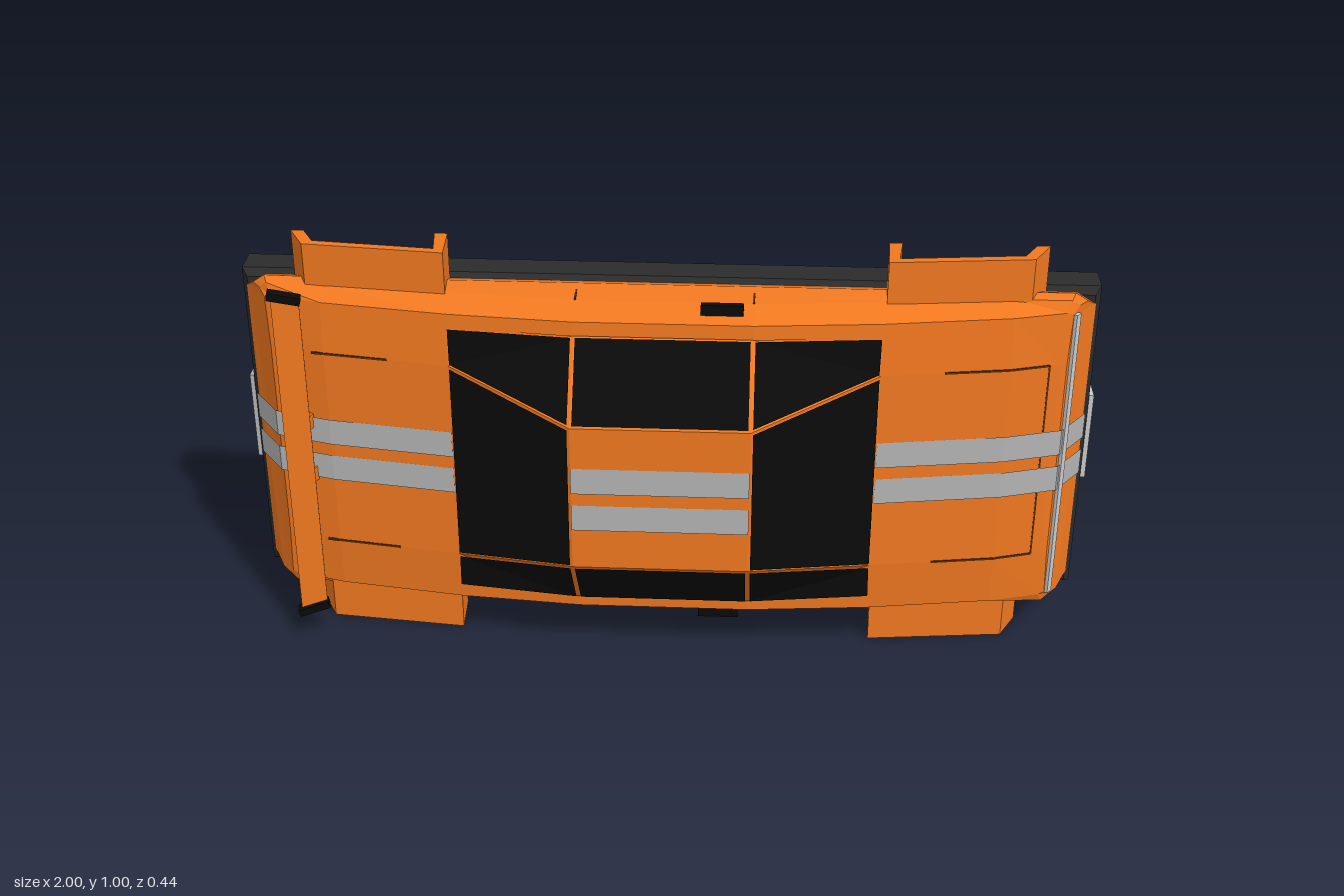
import * as THREE from 'three';

// The car lies on its side: x = length (nose at +x), y = width, z = height (roof at +z).
// Widths are measured from the centre line, which sits at y = 0.5.
const paint = (color, double = true) => new THREE.MeshStandardMaterial({
  color, flatShading: true, side: double ? THREE.DoubleSide : THREE.FrontSide });
const orange = paint(0xf07820), black = paint(0x0a0a0a), dark = paint(0x2b2b2b),
  silver = paint(0xb4b4b4), pale = paint(0xcccccc), seam = paint(0x5a2a0a);
const V = (x, y, z) => new THREE.Vector3(x, y, z);
const CORE = V(0, 0, -0.1);

function add(group, name, geometry, material, pos = [0, 0, 0], rotY = 0) {
  const mesh = new THREE.Mesh(geometry, material);
  mesh.name = name;
  mesh.position.set(...pos);
  mesh.rotation.y = rotY;
  group.add(mesh);
  return mesh;
}

const box = (group, name, size, pos, material, rotY = 0) =>
  add(group, name, new THREE.BoxGeometry(...size), material, pos, rotY);

// Flat polygons turned to face away from the middle of the car
function polygons(list) {
  const out = [];
  for (const poly of list) {
    for (let i = 1; i < poly.length - 1; i++) {
      const [a, b, c] = [poly[0], poly[i], poly[i + 1]];
      const n = b.clone().sub(a).cross(c.clone().sub(a));
      const mid = a.clone().add(b).add(c).divideScalar(3).sub(CORE);
      for (const p of n.dot(mid) < 0 ? [a, c, b] : [a, b, c]) out.push(p.x, p.y, p.z);
    }
  }
  const g = new THREE.BufferGeometry();
  g.setAttribute('position', new THREE.Float32BufferAttribute(out, 3));
  g.computeVertexNormals();
  return g;
}

// Glass pane: shrink a polygon by a fixed border and lift it off the panel
function pane(poly, border, lift) {
  const n = poly[2].clone().sub(poly[0]).cross(poly[3].clone().sub(poly[1])).normalize();
  const mid = poly.reduce((s, p) => s.add(p), V(0, 0, 0)).divideScalar(poly.length);
  if (n.dot(mid.clone().sub(CORE)) < 0) n.negate();
  return poly.map((p, i) => {
    const toNext = poly[(i + 1) % 4].clone().sub(p).normalize();
    const toPrev = poly[(i + 3) % 4].clone().sub(p).normalize();
    const k = border / Math.max(0.3, toNext.clone().cross(toPrev).length());
    return p.clone().addScaledVector(toNext, k).addScaledVector(toPrev, k).addScaledVector(n, lift);
  });
}

// Half section of the body at one station, from sill to deck
const section = (x, top) => [
  [x, 0.388, -0.108], [x, 0.41, -0.05], [x, 0.402, Math.max(top - 0.065, -0.03)],
  [x, 0.375, top - 0.008], [x, 0.25, top]];

function bodyGeometry() {
  const end = [[0.975, 0.36, -0.108], [0.95, 0.385, -0.07], [0.93, 0.385, -0.045],
    [0.915, 0.37, -0.026], [0.91, 0.25, -0.02]];
  const shoulder = [[0.93, 0.388, -0.108], [0.92, 0.408, -0.06], [0.91, 0.4, -0.035],
    [0.9, 0.375, -0.022], [0.895, 0.25, -0.015]];
  const half = [section(0.2, 0.09), section(0.485, 0.065), section(0.78, 0.02), shoulder, end];
  const flip = s => s.map(([x, y, z]) => [-x, y, z]);
  const rings = [...half.map(flip).reverse(), ...half].map(s => [
    ...s.map(p => V(...p)), ...s.map(([x, y, z]) => V(x, -y, z)).reverse()]);
  const faces = [rings[0], rings[rings.length - 1]];
  for (let i = 0; i < rings.length - 1; i++)
    for (let j = 0; j < 9; j++)
      faces.push([rings[i][j], rings[i + 1][j], rings[i + 1][j + 1], rings[i][j + 1]]);
  return polygons(faces);
}

// Cabin panels and their glass
function addCabin(car) {
  const A = (s, t) => V(0.2 * s, 0.345 * t, 0.09), B = (s, t) => V(0.49 * s, 0.343 * t, 0.058),
    C = (s, t) => V(0.487 * s, 0.25 * t, 0.066), D = (s, t) => V(0.2 * s, 0.18 * t, 0.218);
  const panes = [];
  for (const s of [1, -1]) {
    panes.push([C(s, 1), D(s, 1), D(s, -1), C(s, -1)]);
    panes.push([A(1, s), A(-1, s), D(-1, s), D(1, s)]);
    for (const t of [1, -1]) panes.push([A(s, t), B(s, t), C(s, t), D(s, t)]);
  }
  const roof = [D(1, 1), D(1, -1), D(-1, -1), D(-1, 1)];
  add(car, 'cabin', polygons([...panes, roof]), orange);
  add(car, 'windows', polygons(panes.map(p => pane(p, 0.005, 0.003))), black);
}

// Paired stripes along bonnet, roof and tail
function addStripes(car) {
  const line = [[0.487, 0.068], [0.78, 0.0235], [0.896, -0.0115], [0.914, -0.0165], [0.979, -0.105]];
  const faces = [];
  for (const [y0, y1] of [[-0.08, -0.015], [0.015, 0.08]]) {
    const strip = ([xa, za], [xb, zb]) => faces.push(
      [V(xa, y0, za), V(xb, y0, zb), V(xb, y1, zb), V(xa, y1, za)]);
    for (const s of [1, -1])
      for (let i = 0; i < line.length - 1; i++)
        strip([line[i][0] * s, line[i][1]], [line[i + 1][0] * s, line[i + 1][1]]);
    strip([-0.2, 0.221], [0.2, 0.221]);
  }
  add(car, 'stripes', polygons(faces), silver);
}

// Flared wheel arch: a bent strip open below and on its outer side
function archGeometry(s) {
  const shape = new THREE.Shape([[0.5, -0.106], [0.495, 0.004], [0.82, -0.03], [0.86, -0.106],
    [0.83, -0.106], [0.8, -0.05], [0.52, -0.02], [0.53, -0.106]]
    .map(([x, z]) => new THREE.Vector2(x * s, -z)));
  const g = new THREE.ExtrudeGeometry(shape, { depth: 0.13, bevelEnabled: false });
  return g.rotateX(-Math.PI / 2); // depth becomes +y, drawing plane becomes x-z
}

export function createModel() {
  const model = new THREE.Group();
  model.name = 'sportsCar';
  const car = new THREE.Group();
  car.name = 'car';
  car.position.y = 0.5;
  model.add(car);

  // Chassis tray with bevelled rim, underside plate and number plates
  const w = 0.972, h = 0.382;
  const tray = new THREE.Shape([[-w, -h], [w, -h], [w, h], [-w, h]].map(p => new THREE.Vector2(...p)));
  add(car, 'chassis', new THREE.ExtrudeGeometry(tray, {
    depth: 0.075, bevelThickness: 0.02, bevelSize: 0.015, bevelSegments: 1 }), dark, [0, 0, -0.2]);
  box(car, 'undersidePlate', [1.92, 0.74, 0.004], [0, 0, -0.22], black);
  box(car, 'frontPlate', [0.02, 0.22, 0.055], [0.99, 0, -0.1625], pale);
  box(car, 'rearPlate', [0.02, 0.22, 0.055], [-0.99, 0, -0.1625], silver);

  add(car, 'body', bodyGeometry(), orange);
  addCabin(car);
  addStripes(car);

  for (const t of [1, -1]) {
    for (const s of [1, -1]) {
      add(car, 'wheelArch', archGeometry(s), orange, [0, t > 0 ? 0.37 : -0.5, 0]);
      add(car, 'axleEnd', new THREE.CylinderGeometry(0.023, 0.023, 0.04, 20), black,
        [0.68 * s, 0.39 * t, -0.183]);
      box(car, 'doorSeam', [0.004, 0.006, 0.08], [0.2 * s, 0.404 * t, -0.015], seam);
    }
    box(car, 'doorHandle', [0.095, 0.025, 0.016], [0.13, 0.4 * t, 0.052], black);
    // Bonnet and tail lid seams
    box(car, 'bonnetSeam', [0.15, 0.005, 0.004], [0.705, 0.25 * t, 0.0315], seam, 0.151);
    box(car, 'bonnetSeam', [0.094, 0.005, 0.004], [0.825, 0.25 * t, 0.006], seam, 0.295);
    box(car, 'tailSeam', [0.18, 0.005, 0.004], [-0.72, 0.25 * t, 0.029], seam, -0.151);
    // Rear wing supports and end plates
    box(car, 'wingSupport', [0.014, 0.035, 0.085], [-0.835, 0.07 * t, 0.028], orange, -0.4);
    box(car, 'wingEndPlate', [0.075, 0.018, 0.028], [-0.847, 0.412 * t, 0.068], black, 0.2)
      .rotation.z = -0.25 * t;
  }
  box(car, 'bonnetFrontSeam', [0.004, 0.5, 0.004], [0.87, 0, -0.0075], seam);
  box(car, 'rearWing', [0.062, 0.82, 0.01], [-0.846, 0, 0.065], orange, 0.22);
  box(car, 'lightBar', [0.008, 0.74, 0.018], [0.924, 0, -0.03], pale, -0.65);
  return model;
}
